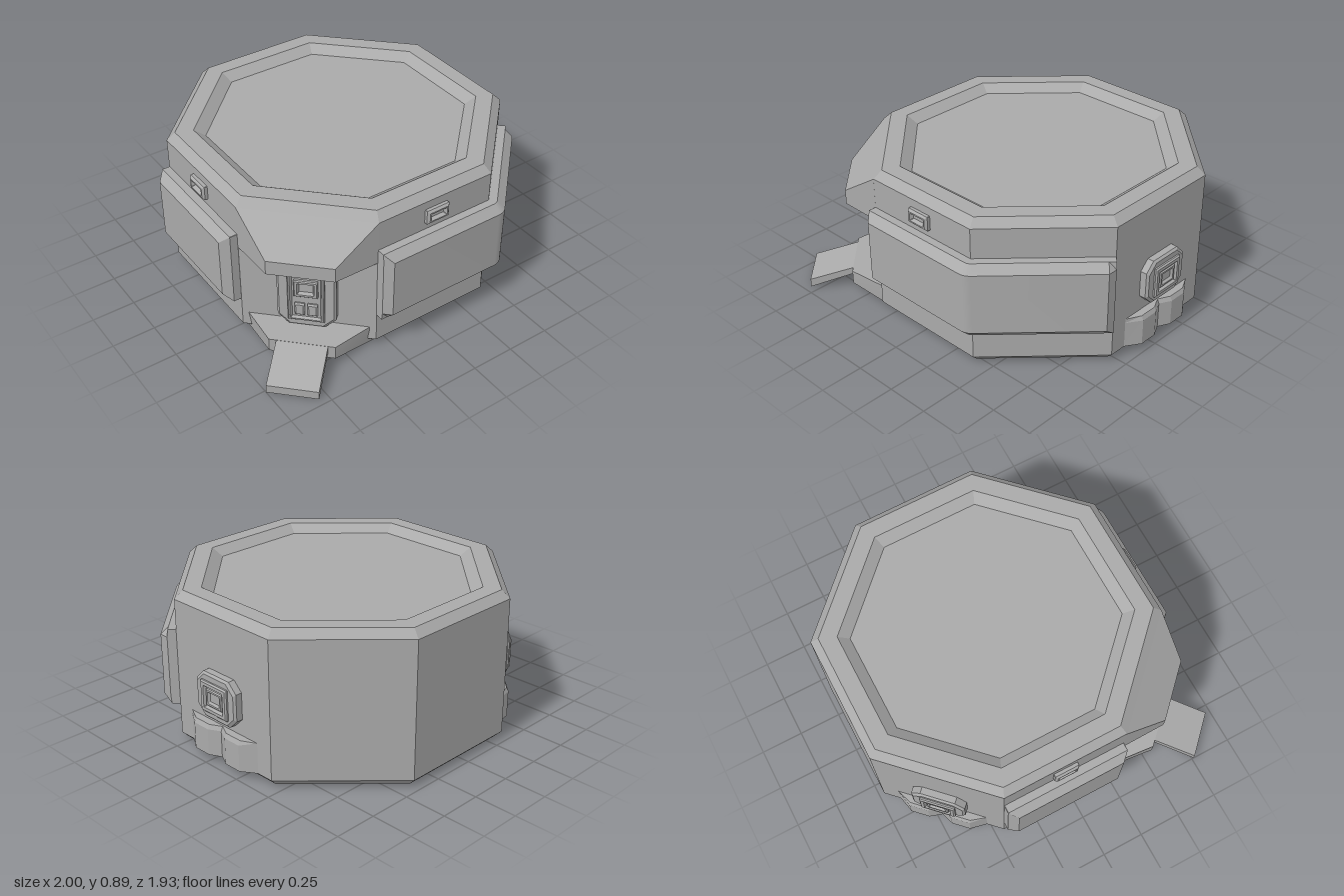
import * as THREE from 'three';
import { toCreasedNormals } from 'three/addons/utils/BufferGeometryUtils.js';

const grey = new THREE.MeshStandardMaterial({ color: 0xaaaaaa });
grey.name = 'hull grey';
const APOTHEM = 0.89, HALF = 0.37; // octagon size

// Joins matching rings of points (counter-clockwise seen from the end) and caps both ends.
function loft(name, rings) {
  const pos = [];
  const tri = (a, b, c) => pos.push(...a, ...b, ...c);
  const n = rings[0].length, last = rings[rings.length - 1];
  for (let r = 0; r < rings.length - 1; r++) {
    const A = rings[r], B = rings[r + 1];
    for (let i = 0; i < n; i++) {
      const j = (i + 1) % n;
      tri(A[i], A[j], B[j]);
      tri(A[i], B[j], B[i]);
    }
  }
  for (let i = 1; i < n - 1; i++) {
    tri(rings[0][0], rings[0][i + 1], rings[0][i]);
    tri(last[0], last[i], last[i + 1]);
  }
  const g = new THREE.BufferGeometry();
  g.setAttribute('position', new THREE.Float32BufferAttribute(pos, 3));
  const mesh = new THREE.Mesh(toCreasedNormals(g, 0.3), grey);
  mesh.name = name;
  return mesh;
}

function octagon(a, y) {
  const r = a / Math.cos(Math.PI / 8);
  return Array.from({ length: 8 }, (_, i) => {
    const t = Math.PI / 8 + i * Math.PI / 4;
    return [r * Math.cos(t), y, -r * Math.sin(t)];
  });
}

// Rectangle with cut corners, at depth z
function cutRect(w, h, c, z) {
  const x = w / 2, y = h / 2;
  return [[x, -y + c, z], [x, y - c, z], [x - c, y, z], [-x + c, y, z],
    [-x, y - c, z], [-x, -y + c, z], [-x + c, -y, z], [x - c, -y, z]];
}

// Bevelled plate; an optional rim width and recess depth sinks its middle.
function plate(name, [x, y, z], w, h, c, depth, bevel, rim = 0, sink = 0) {
  const rings = [cutRect(w, h, c, 0), cutRect(w, h, c, depth - bevel),
    cutRect(w - 2 * bevel, h - 2 * bevel, c, depth)];
  if (rim) {
    const i = 2 * (bevel + rim);
    rings.push(cutRect(w - i, h - i, c, depth), cutRect(w - i - 0.02, h - i - 0.02, c, depth - sink));
  }
  const m = loft(name, rings);
  m.position.set(x, y, z);
  return m;
}

// Group whose local z points out of one octagon side
function onSide(name, angle, ...parts) {
  const turn = new THREE.Group(), side = new THREE.Group();
  turn.name = name;
  turn.rotation.y = angle;
  side.position.z = APOTHEM;
  side.add(...parts);
  turn.add(side);
  return turn;
}

// Socket with a pair of bumpers beneath it
function socket(angle) {
  const bumpers = [-1, 1].map(s => {
    const ring = (y, k) => {
      const p = [[0, 0], [0, 0.02], [0.07, 0.055], [0.18, 0.055], [0.265, 0]]
        .map(([x, z]) => [s * x, y, Math.max(0, z - k)]);
      return s > 0 ? p : p.reverse();
    };
    return loft('bumper', [ring(0.045, 0), ring(0.2, 0), ring(0.225, 0.012)]);
  });
  return onSide('socket', angle,
    plate('socketBase', [0, 0.4, 0], 0.31, 0.265, 0.055, 0.05, 0.012),
    plate('socketFrame', [0, 0.4, 0.04], 0.205, 0.18, 0.002, 0.027, 0.008, 0.018, 0.02),
    plate('socketPlug', [0, 0.4, 0.045], 0.125, 0.1, 0.002, 0.018, 0.006, 0.01, 0.012),
    ...bumpers);
}

function vent(angle) {
  return onSide('vent', angle, plate('ventFrame', [0, 0.755, 0], 0.145, 0.085, 0.002, 0.03, 0.012, 0.008, 0.02));
}

// Padded panel wrapped round the front and one diagonal side
function wrapPanel() {
  const profile = [[-0.02, 0.225], [-0.02, 0.67], [0.045, 0.67], [0.09, 0.625], [0.09, 0.27], [0.045, 0.225]];
  const ring = (x, z, t, limit) => profile.map(([o, y]) =>
    [x + Math.min(o, limit) * Math.sin(t), y, z + Math.min(o, limit) * Math.cos(t)]);
  const q = Math.PI / 4, d = 0.04 * Math.SQRT1_2;
  const rings = [ring(-HALF, APOTHEM, 0, 0.05), ring(-HALF + 0.04, APOTHEM, 0, 1)];
  for (let i = 0; i <= 6; i++) rings.push(ring(HALF, APOTHEM, q * i / 6, 1));
  rings.push(ring(APOTHEM - d, HALF + d, q, 1), ring(APOTHEM, HALF, q, 0.05));
  return loft('wrapPanel', rings);
}

// Four-cornered block: inner edge then outer edge, seen from above
const quad = (hi, yi, zi, ho, yo, zo) => [[hi, yi, zi], [-hi, yi, zi], [-ho, yo, zo], [ho, yo, zo]];

export function createModel() {
  const model = new THREE.Group();
  model.name = 'octagonalModule';
  const body = new THREE.Group();
  body.name = 'body';
  body.position.set(0.04, 0, -0.08);
  model.add(body);

  // Octagonal hull with chamfers and a sunken roof
  body.add(loft('hull', [octagon(0.845, 0), octagon(APOTHEM, 0.045), octagon(APOTHEM, 0.845),
    octagon(0.845, 0.89), octagon(0.75, 0.89), octagon(0.69, 0.845)]));

  body.add(wrapPanel());
  body.add(onSide('sidePanel', -Math.PI / 2,
    plate('sidePad', [0, 0.447, 0], 0.735, 0.445, 0.002, 0.09, 0.045)));

  // Entrance corner: hood, ledge, ramp and door
  const door = [
    plate('doorPlate', [0, 0.358, 0], 0.32, 0.45, 0.06, 0.055, 0.012),
    plate('doorFrame', [0, 0.358, 0.045], 0.2, 0.355, 0.002, 0.024, 0.006, 0.008, 0.015),
    plate('doorWindow', [0, 0.405, 0.045], 0.13, 0.11, 0.002, 0.028, 0.006, 0.012, 0.02),
    ...[-1, 1].map(s => plate('doorButton', [s * 0.035, 0.26, 0.045], 0.055, 0.08, 0.002, 0.025, 0.008)),
  ];
  body.add(onSide('entrance', -Math.PI / 4,
    loft('hood', [quad(HALF, 0.585, 0, 0.18, 0.585, 0.185), quad(HALF, 0.845, 0, 0.18, 0.67, 0.185)]),
    loft('ledge', [quad(0.35, 0, -0.045, 0.18, 0.05, 0.185), quad(HALF, 0.13, -0.045, 0.18, 0.13, 0.185)]),
    loft('ramp', [quad(0.14, 0.09, 0.18, 0.14, 0, 0.44), quad(0.14, 0.13, 0.18, 0.14, 0.05, 0.44)]),
    ...door));

  // Sockets and vents
  body.add(socket(Math.PI / 2), socket(-Math.PI * 3 / 4));
  body.add(vent(0), vent(-Math.PI / 2));
  return model;
}
